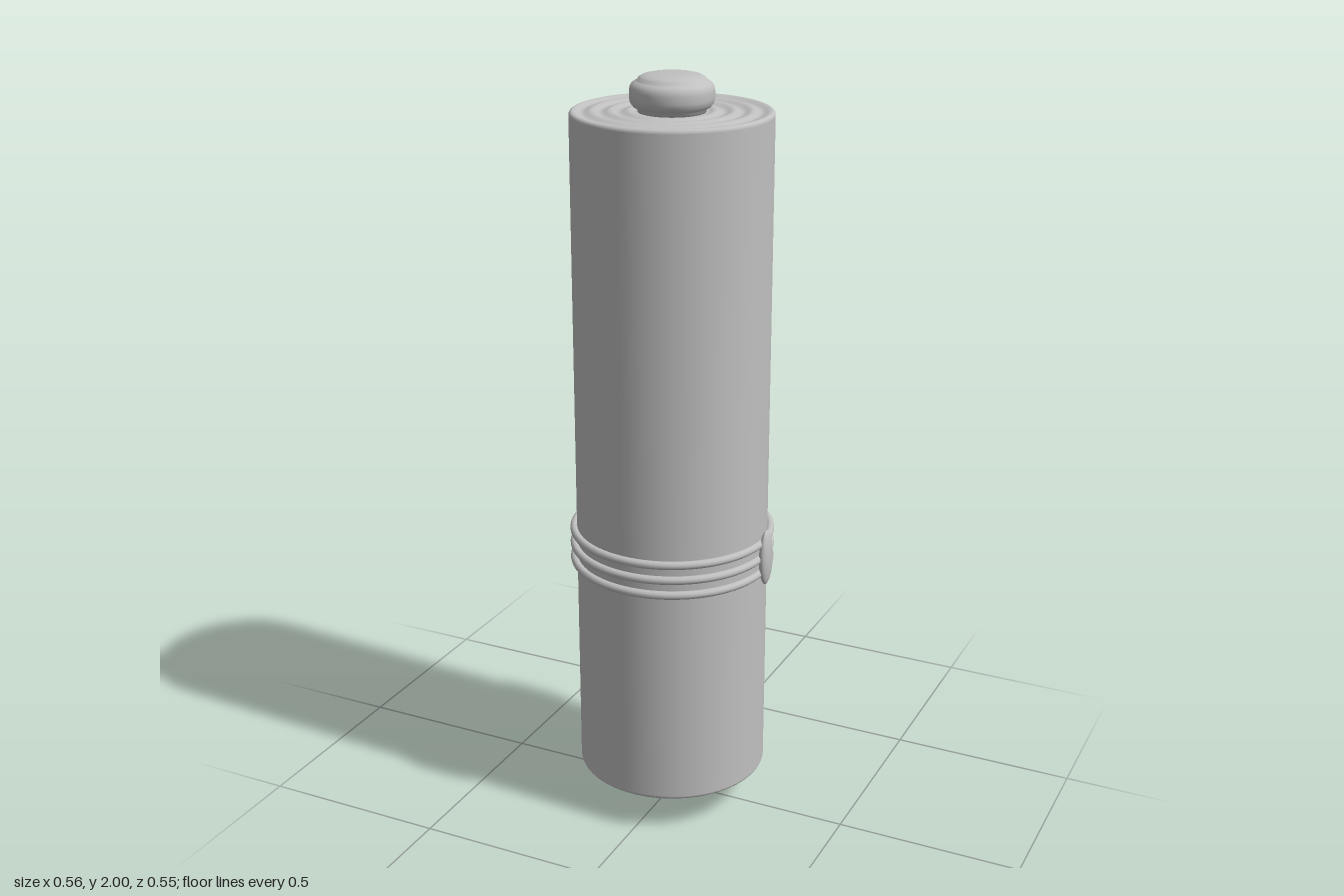
import * as THREE from 'three';

const CX = -0.008; // the roll sits slightly off centre because of the clasp

export function createModel() {
  const group = new THREE.Group();
  const grey = new THREE.MeshStandardMaterial({ color: 0xc0c0c0 });
  grey.name = 'plain grey';

  const add = (name, geometry, x, y, z = 0) => {
    const mesh = new THREE.Mesh(geometry, grey);
    mesh.name = name;
    mesh.position.set(x, y, z);
    group.add(mesh);
    return mesh;
  };
  const lathe = (pts, seg = 72) =>
    new THREE.LatheGeometry(pts.map(([r, y]) => new THREE.Vector2(r, y)), seg);

  // Rolled sheet: straight outer wall
  const R = 0.255, bottom = 0.1, top = 1.91, round = 0.01;
  add('rollWall', lathe([[R, bottom + round], [R, top - round]]), CX, 0);

  // Rippled end face with a rounded rim, drawn from the axis outwards
  const endProfile = [];
  for (let i = 0; i <= 6; i++) {
    const a = (i / 6) * Math.PI / 2;
    endProfile.push([R - round + round * Math.cos(a), -round + round * Math.sin(a)]);
  }
  for (let i = 1; i <= 48; i++) {
    const r = (R - round) * (1 - i / 48);
    const ripple = r > 0.09 ? 0.003 * (Math.cos((r - 0.245) / 0.046 * Math.PI * 2) - 1) : -0.004;
    endProfile.push([Math.max(r, 0), ripple]);
  }

  // Rod knob: fat rounded disc with a smaller domed cap
  const knobProfile = [
    [0, -0.01], [0.085, -0.01], [0.085, 0.003], [0.096, 0.009], [0.103, 0.018],
    [0.106, 0.03], [0.106, 0.048], [0.104, 0.058], [0.099, 0.066], [0.091, 0.071],
    [0.086, 0.073], [0.083, 0.079], [0.075, 0.084], [0.058, 0.088], [0.03, 0.0895], [0, 0.09],
  ];

  // Both ends, the lower one turned over
  for (const [label, y, turn] of [['top', top, 0], ['bottom', bottom, Math.PI]]) {
    add(label + 'End', lathe(endProfile), CX, y).rotation.x = turn;
    const knob = add(label + 'Knob', lathe(knobProfile, 48), CX, y);
    knob.rotation.x = turn;
    if (turn) knob.scale.y = bottom / 0.09;
  }

  // Three cords around the roll
  for (const y of [0.713, 0.755, 0.797]) {
    const cord = new THREE.TorusGeometry(0.262, 0.011, 12, 80);
    cord.rotateX(Math.PI / 2);
    add('cord', cord, CX, y);
  }

  // Oval clasp on the left side
  const clasp = new THREE.SphereGeometry(1, 32, 20);
  clasp.scale(0.015, 0.077, 0.031);
  add('clasp', clasp, 0.265, 0.755);

  return group;
}
